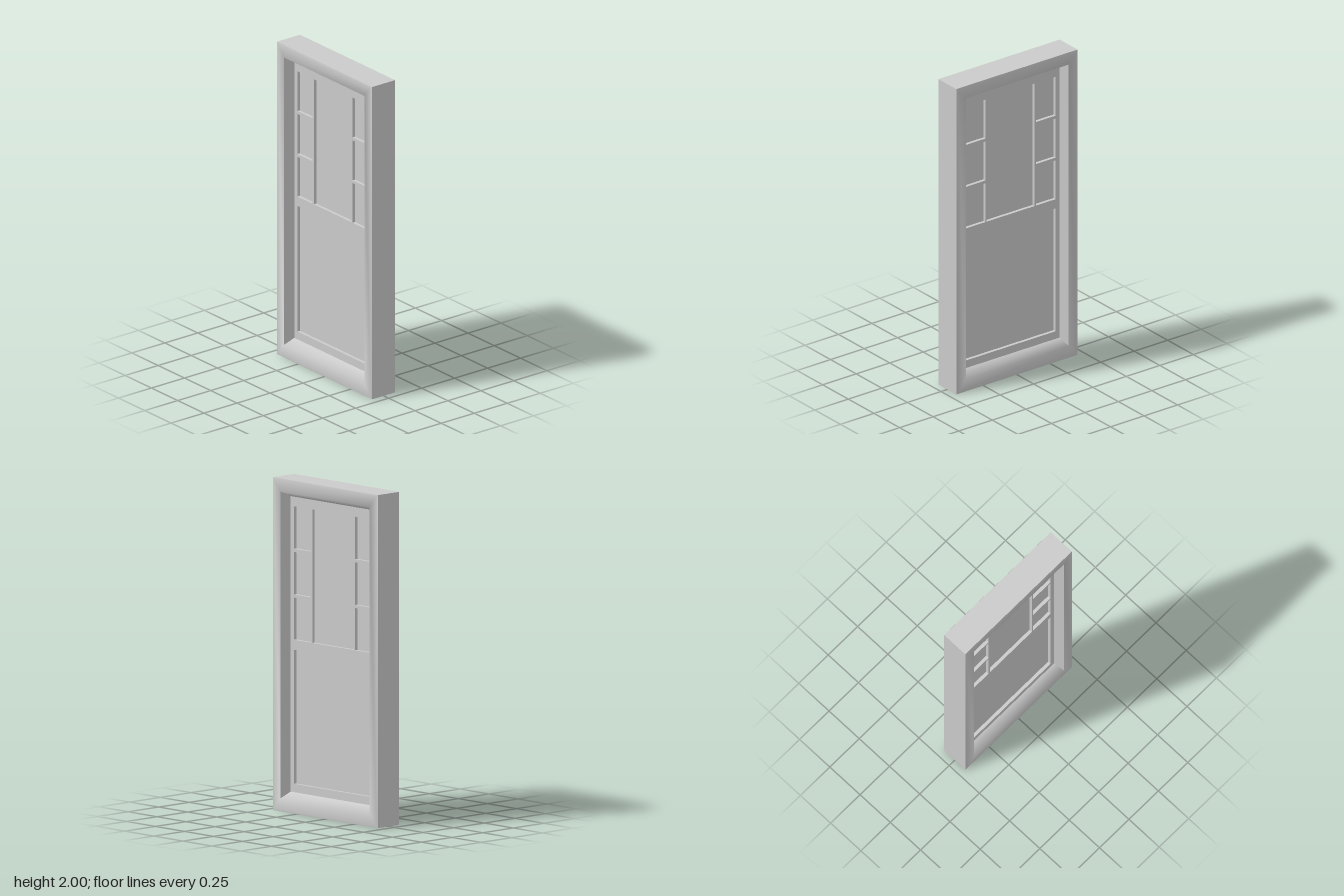
import * as THREE from 'three';
import { toCreasedNormals } from 'three/addons/utils/BufferGeometryUtils.js';

const material = new THREE.MeshStandardMaterial({ color: 0xcccccc });

// Counter-clockwise corners of a rectangle
const corners = (x0, x1, y0, y1) => [[x0, y0], [x1, y0], [x1, y1], [x0, y1]];

function addMesh(group, geometry, name) {
  const mesh = new THREE.Mesh(geometry, material);
  mesh.name = name;
  group.add(mesh);
}

// Rectangular frame: one moulding section swept round, mirrored front to back
function frameGeometry() {
  // half width, bottom, top, z (outer edge to door face)
  const front = [
    [0.4525, 0, 2, 0.087],
    [0.443, 0.009, 1.991, 0.09],
    [0.383, 0.08, 1.922, 0.09],
    [0.365, 0.115, 1.89, 0.025],
  ];
  const back = front.map(([w, b, t, z]) => [w, b, t, -z]).reverse();
  const rings = [...back, ...front].map(([w, b, t, z]) =>
    corners(-w, w, b, t).map(([x, y]) => [x, y, z]));
  const positions = [];
  for (let r = 0; r < rings.length - 1; r++) {
    for (let i = 0; i < 4; i++) {
      const j = (i + 1) % 4;
      const [a, b, c, d] = [rings[r][i], rings[r][j], rings[r + 1][j], rings[r + 1][i]];
      positions.push(...a, ...b, ...c, ...a, ...c, ...d);
    }
  }
  const geometry = new THREE.BufferGeometry();
  geometry.setAttribute('position', new THREE.Float32BufferAttribute(positions, 3));
  // Softens the sloped sill and head, keeps the steep jambs sharp
  return toCreasedNormals(geometry, 1.17);
}

export function createModel() {
  const model = new THREE.Group();
  model.name = 'framedDoor';
  addMesh(model, frameGeometry(), 'frame');

  // Panel openings: x0, x1, y0, y1
  const openings = [
    ['lowerPanel', -0.336, 0.336, 0.165, 0.97],
    ['centrePane', -0.18, 0.178, 1.03, 1.832],
  ];
  for (const [y0, y1] of [[1.03, 1.284], [1.302, 1.558], [1.577, 1.832]]) {
    openings.push(['sidePane', -0.336, -0.19, y0, y1], ['sidePane', 0.188, 0.336, y0, y1]);
  }

  // Door leaf with its openings cut through
  const toPoints = (...r) => corners(...r).map(([x, y]) => new THREE.Vector2(x, y));
  const leaf = new THREE.Shape(toPoints(-0.365, 0.365, 0.115, 1.89));
  leaf.holes = openings.map(([, ...r]) => new THREE.Path(toPoints(...r).reverse()));
  const leafGeometry = new THREE.ExtrudeGeometry(leaf, { depth: 0.05, bevelEnabled: false });
  leafGeometry.translate(0, 0, -0.025);
  addMesh(model, leafGeometry, 'doorLeaf');

  // Recessed panels and panes
  for (const [name, x0, x1, y0, y1] of openings) {
    const panel = new THREE.BoxGeometry(x1 - x0, y1 - y0, 0.01);
    panel.translate((x0 + x1) / 2, (y0 + y1) / 2, 0);
    addMesh(model, panel, name);
  }
  return model;
}
